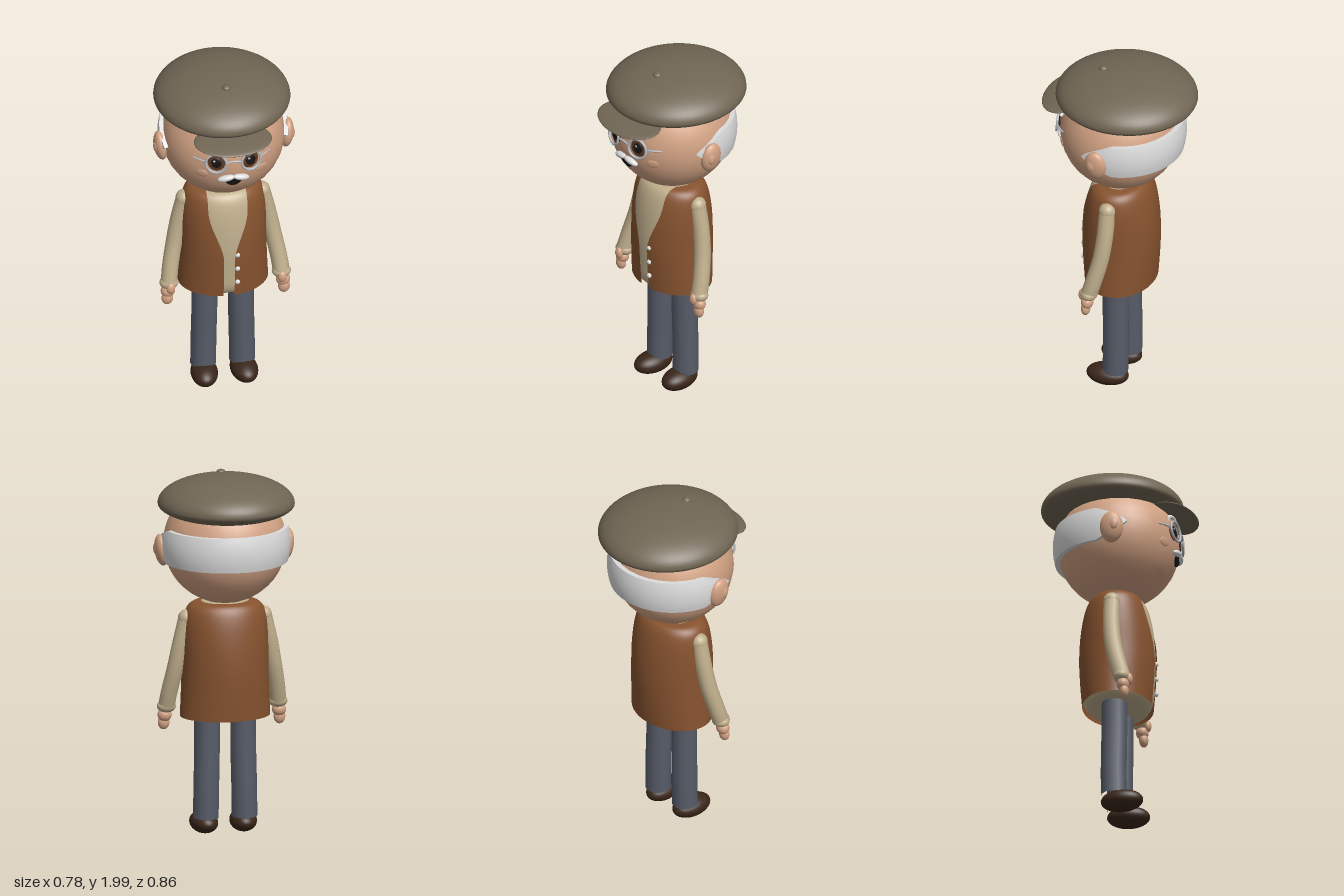
import * as THREE from 'three';
import { toCreasedNormals } from 'three/addons/utils/BufferGeometryUtils.js';

const mat = (name, color, side = THREE.FrontSide) => {
  const m = new THREE.MeshStandardMaterial({ color, side });
  m.name = name;
  return m;
};

// Grid surface: f(u, v) gives a point; u runs left to right seen from outside, v upward
function surface(nu, nv, f) {
  const g = new THREE.PlaneGeometry(1, 1, nu, nv);
  const p = g.attributes.position, uv = g.attributes.uv;
  for (let i = 0; i < p.count; i++) p.setXYZ(i, ...f(uv.getX(i), uv.getY(i)));
  g.computeVertexNormals();
  return g;
}

export function createModel() {
  const root = new THREE.Group();
  root.name = 'oldMan';
  const skin = mat('skin', 0xd2a283);
  const white = mat('white hair', 0xdcdcdc, THREE.DoubleSide);
  const leather = mat('brown vest', 0x87532f, THREE.DoubleSide);
  const cloth = mat('cream shirt', 0xbfae8c, THREE.DoubleSide);
  const wool = mat('olive cap', 0x716654);
  const denim = mat('grey trousers', 0x575c68);
  const shoe = mat('dark shoes', 0x3a261a);
  const iris = mat('brown iris', 0x5a3826);
  const black = mat('black', 0x191414);
  const metal = mat('metal', 0xb4b8be);

  const add = (name, geo, m, pos = [0, 0, 0], parent = root) => {
    const mesh = new THREE.Mesh(geo, m);
    mesh.name = name;
    mesh.position.set(...pos);
    parent.add(mesh);
    return mesh;
  };
  const blob = (name, m, pos, radii, parent) => {
    const mesh = add(name, new THREE.SphereGeometry(1, 32, 20), m, pos, parent);
    mesh.scale.set(...radii);
    return mesh;
  };
  const curve = pts => new THREE.CatmullRomCurve3(pts.map(p => new THREE.Vector3(...p)));
  const tube = (name, m, pts, r, parent) =>
    add(name, new THREE.TubeGeometry(curve(pts), 24, r, 12), m, [0, 0, 0], parent);

  // Head, with a helper for points on the face
  const HY = 1.62, HZ = -0.01, HR = 0.33;
  blob('head', skin, [0, HY, HZ], [0.334, HR, HR]);
  const face = (x, y, lift = 0) => {
    const d = new THREE.Vector3(x, y - HY, Math.sqrt(HR * HR - x * x - (y - HY) ** 2));
    d.setLength(HR + lift);
    return [d.x, HY + d.y, HZ + d.z];
  };
  const faceOut = (obj, x, y) => {
    const [a, b, c] = face(x, y, 1);
    obj.lookAt(a, b, c);
    return obj;
  };

  // Hair band around the back of the head, tapering to sideburns
  const span = Math.PI / 2 + 0.3;
  add('hair', toCreasedNormals(surface(72, 12, (u, v) => {
    const a = (u * 2 - 1) * span;
    const k = Math.pow(Math.min(1, (span - Math.abs(a)) / 0.5), 0.8);
    const t = THREE.MathUtils.clamp((v * 12 - 1) / 10, 0, 1);
    const y = 0.005 + k * (-0.1 + 0.19 * t);
    const R = v < 0.01 || v > 0.99 ? 0.32 : 0.354;
    const r = Math.sqrt(R * R - y * y);
    return [-Math.sin(a) * r, HY + y, HZ - Math.cos(a) * r];
  }), 0.7), white);

  // Flat cap: crown, peak and top button
  const crownPts = [];
  for (let i = 0; i <= 32; i++) {
    const a = -Math.PI / 2 + Math.PI * i / 32;
    crownPts.push(new THREE.Vector2(Math.max(0, Math.cos(a)), Math.sin(a) * (a < 0 ? 0.09 : 0.15)));
  }
  const crown = add('capCrown', new THREE.LatheGeometry(crownPts, 56), wool, [0, 1.845, -0.042]);
  crown.scale.set(0.37, 1, 0.387);
  blob('capPeak', wool, [0, 1.777, 0.293], [0.213, 0.017, 0.135]).rotation.x = 0.13;
  blob('capButton', wool, [0, 1.985, 0.093], [0.025, 0.016, 0.025]);

  for (const s of [-1, 1]) {
    const side = s > 0 ? 'left' : 'right';

    // Ears
    const ear = blob(side + 'Ear', skin, [s * 0.345, 1.59, 0.01], [0.038, 0.088, 0.063]);
    ear.rotation.z = -s * 0.12;
    blob(side + 'InnerEar', skin, [s * 0.372, 1.597, 0.025], [0.016, 0.036, 0.026]);

    // Eyes, brows and cheeks
    const ex = s * 0.092, ey = 1.65;
    faceOut(blob(side + 'Iris', iris, face(ex, ey), [0.048, 0.05, 0.009]), ex, ey);
    faceOut(blob(side + 'Pupil', black, face(ex, ey, 0.006), [0.029, 0.031, 0.007]), ex, ey);
    blob(side + 'Glint', metal, face(ex - 0.01, ey + 0.01, 0.012), [0.007, 0.007, 0.004]);
    faceOut(blob(side + 'Cheek', skin, face(s * 0.165, 1.565), [0.035, 0.025, 0.006]), s * 0.165, 1.565);
    tube(side + 'Brow', white, [face(s * 0.03, 1.72, 0.008), face(s * 0.07, 1.737, 0.012),
      face(s * 0.105, 1.732, 0.01), face(s * 0.135, 1.712, 0.006)], 0.011);

    // Spectacles
    const rim = add(side + 'SpectacleRim', new THREE.TorusGeometry(0.056, 0.007, 10, 40), metal, face(ex, ey, 0.016));
    faceOut(rim, ex, ey);
    tube(side + 'SpectacleArm', metal, [face(s * 0.148, 1.655, 0.014), face(s * 0.175, 1.657, 0.01),
      face(s * 0.208, 1.657, 0.002)], 0.005);

    // Moustache half
    const lobe = blob(side + 'Moustache', white, face(s * 0.04, 1.548, 0.008), [0.047, 0.018, 0.021]);
    lobe.rotation.set(0, s * 0.15, -s * 0.22);

    // Arm with sleeve and cuff
    const arm = new THREE.Group();
    arm.name = side + 'Arm';
    root.add(arm);
    blob('shoulder', cloth, [s * 0.212, 1.21, -0.01], [0.047, 0.047, 0.047], arm);
    tube('sleeve', cloth, [[s * 0.212, 1.21, -0.01], [s * 0.245, 1.07, -0.008],
      [s * 0.272, 0.93, 0.006], [s * 0.298, 0.79, 0.038], [s * 0.308, 0.71, 0.06]], 0.046, arm);
    blob('cuff', cloth, [s * 0.308, 0.71, 0.06], [0.052, 0.036, 0.046], arm);
    blob('palm', skin, [s * 0.316, 0.66, 0.068], [0.039, 0.037, 0.034], arm);
    blob('fingers', skin, [s * 0.32, 0.618, 0.075], [0.032, 0.04, 0.025], arm);
    blob('thumb', skin, [s * 0.306, 0.695, 0.1], [0.024, 0.034, 0.02], arm);

    // Leg and shoe
    tube(side + 'Leg', denim, [[s * 0.1, 0.72, -0.015], [s * 0.1, 0.5, -0.015],
      [s * 0.105, 0.25, -0.018], [s * 0.107, 0.1, -0.016]], 0.071);
    blob(side + 'Shoe', shoe, [s * 0.109, 0.065, 0.028], [0.074, 0.059, 0.117]).rotation.y = s * 0.08;
  }
  tube('spectacleBridge', metal, [face(-0.036, 1.655, 0.018), face(0, 1.663, 0.02), face(0.036, 1.655, 0.018)], 0.006);

  // Open mouth below the moustache
  const lip = new THREE.Shape();
  lip.moveTo(-0.05, 0);
  lip.quadraticCurveTo(0, 0.02, 0.05, 0);
  lip.quadraticCurveTo(0.03, -0.045, 0, -0.045);
  lip.quadraticCurveTo(-0.03, -0.045, -0.05, 0);
  const mouth = add('mouth', new THREE.ExtrudeGeometry(lip, { depth: 0.009, bevelEnabled: false, curveSegments: 12 }),
    black, face(0, 1.535, 0.001));
  faceOut(mouth, 0, 1.535);

  // Torso sections: half width, height, half depth
  const TZ = -0.012;
  const vestLine = curve([[0.246, 0.665, 0.192], [0.24, 0.8, 0.203], [0.235, 0.95, 0.209], [0.234, 1.1, 0.2],
    [0.225, 1.21, 0.18], [0.208, 1.265, 0.16], [0.18, 1.291, 0.138], [0.13, 1.3, 0.105]]);
  const shirtLine = curve([[0.001, 0.645, 0.001], [0.13, 0.648, 0.1], [0.21, 0.665, 0.165], [0.235, 0.71, 0.19],
    [0.232, 0.8, 0.197], [0.227, 0.95, 0.202], [0.226, 1.1, 0.193], [0.218, 1.21, 0.173],
    [0.2, 1.262, 0.153], [0.17, 1.287, 0.13], [0.1, 1.3, 0.08], [0.001, 1.302, 0.001]]);
  const ring = (line, v, a) => {
    const p = line.getPoint(v);
    return [Math.sin(a) * p.x, p.y, TZ + Math.cos(a) * p.z];
  };
  add('shirt', surface(48, 48, (u, v) => ring(shirtLine, v, (u * 2 - 1) * Math.PI)), cloth);

  // Vest, open down the front
  add('vest', surface(72, 48, (u, v) => {
    const p = vestLine.getPoint(v);
    const gap = 0.03 + 0.078 * THREE.MathUtils.smoothstep(p.y, 0.9, 1.21);
    const a0 = Math.asin(Math.min(0.95, gap / p.x));
    return ring(vestLine, v, a0 + u * (2 * Math.PI - 2 * a0));
  }), leather);
  for (const y of [0.935, 0.845, 0.757])
    blob('vestButton', white, [0.045, y, TZ + 0.202], [0.014, 0.014, 0.012]);

  return root;
}
